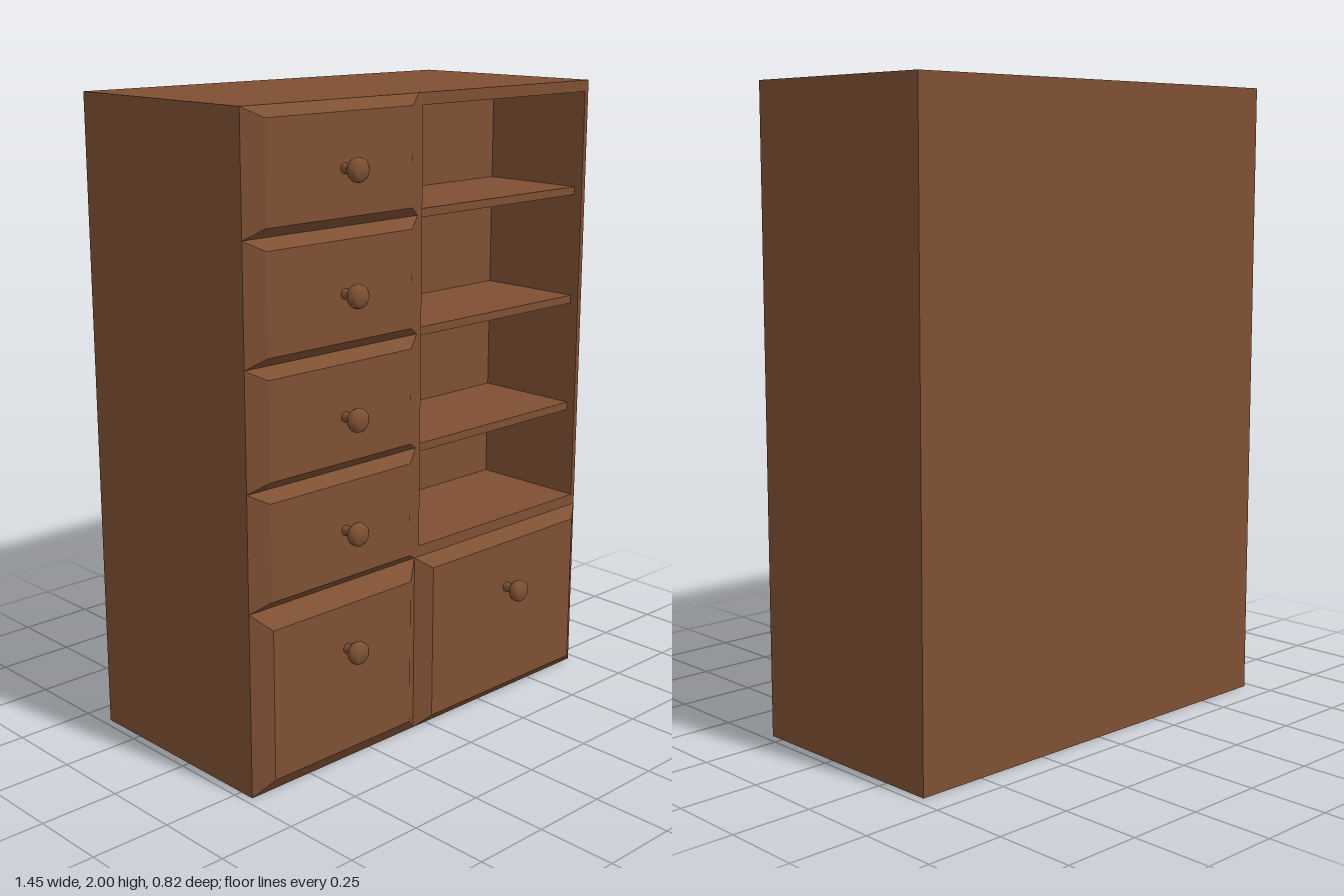
import * as THREE from 'three';

const wood = new THREE.MeshStandardMaterial({ color: 0x7f5033, roughness: 0.8, flatShading: true });
const knobWood = new THREE.MeshStandardMaterial({ color: 0x7f5033, roughness: 0.8 });

const X0 = -0.725, X1 = 0.722, MID = -0.055;      // cabinet sides and column divide
const BACK = -0.41, FRONT = 0.3, RECESS = -0.09;  // depths

function add(parent, name, geometry, x = 0, y = 0, z = 0, material = wood) {
  const mesh = new THREE.Mesh(geometry, material);
  mesh.name = name;
  mesh.position.set(x, y, z);
  parent.add(mesh);
  return mesh;
}

function block(parent, name, x0, x1, y0, y1, z0, z1) {
  return add(parent, name, new THREE.BoxGeometry(x1 - x0, y1 - y0, z1 - z0),
    (x0 + x1) / 2, (y0 + y1) / 2, (z0 + z1) / 2);
}

// Raised panel: a box whose front corners are pulled inward to form bevels
function panel(parent, x0, x1, y0, y1, insetX, insetY, z) {
  const mesh = block(parent, 'drawerFront', x0, x1, y0, y1, FRONT, z);
  const p = mesh.geometry.attributes.position;
  for (let i = 0; i < p.count; i++) {
    if (p.getZ(i) > 0) {
      p.setX(i, p.getX(i) - Math.sign(p.getX(i)) * insetX);
      p.setY(i, p.getY(i) - Math.sign(p.getY(i)) * insetY);
    }
  }
  mesh.geometry.computeVertexNormals();
}

// Turned knob, profile as radius and distance from the drawer face
const knobProfile = [[0.016, -0.005], [0.015, 0.015], [0.019, 0.034], [0.032, 0.039],
  [0.036, 0.049], [0.034, 0.062], [0.024, 0.072], [0, 0.074]];
const knobGeometry = new THREE.LatheGeometry(
  knobProfile.map(([r, d]) => new THREE.Vector2(r, d)), 16).rotateX(Math.PI / 2);

function drawer(parent, name, x0, x1, y0, y1, insetX, insetY, z, knobX, knobY) {
  const group = new THREE.Group();
  group.name = name;
  panel(group, x0, x1, y0, y1, insetX, insetY, z);
  add(group, 'knob', knobGeometry, knobX, knobY, 0.336, knobWood);
  parent.add(group);
}

export function createModel() {
  const model = new THREE.Group();
  model.name = 'cabinet';

  // Carcass: solid rear and a front frame with the shelf opening
  block(model, 'carcassBack', X0, X1, 0, 2, BACK, RECESS);
  const outline = new THREE.Shape([[X0, 0], [X1, 0], [X1, 2], [X0, 2]]
    .map(([x, y]) => new THREE.Vector2(x, y)));
  outline.holes.push(new THREE.Path([[-0.036, 0.61], [-0.036, 1.964], [0.706, 1.964], [0.706, 0.61]]
    .map(([x, y]) => new THREE.Vector2(x, y))));
  add(model, 'carcassFrame',
    new THREE.ExtrudeGeometry(outline, { depth: FRONT - RECESS, bevelEnabled: false }), 0, 0, RECESS);

  // Open shelves, set slightly back from the frame
  for (const top of [0.93, 1.297, 1.657]) {
    block(model, 'shelf', -0.036, 0.706, top - 0.026, top, RECESS, FRONT - 0.03);
  }

  // Column of small drawers
  const levels = [0.575, 0.932, 1.288, 1.645, 2];
  const knobHeights = [0.755, 1.1, 1.46, 1.813];
  knobHeights.forEach((knobY, i) => {
    drawer(model, 'smallDrawer', X0, MID, levels[i], levels[i + 1], 0.057, 0.031, 0.334, -0.38, knobY);
  });

  // Two deep drawers along the bottom
  drawer(model, 'deepDrawerRight', X0, MID, 0, 0.575, 0.057, 0.053, 0.34, -0.38, 0.383);
  drawer(model, 'deepDrawerLeft', MID, X1, 0, 0.575, 0.05, 0.037, 0.334, 0.342, 0.383);

  return model;
}
